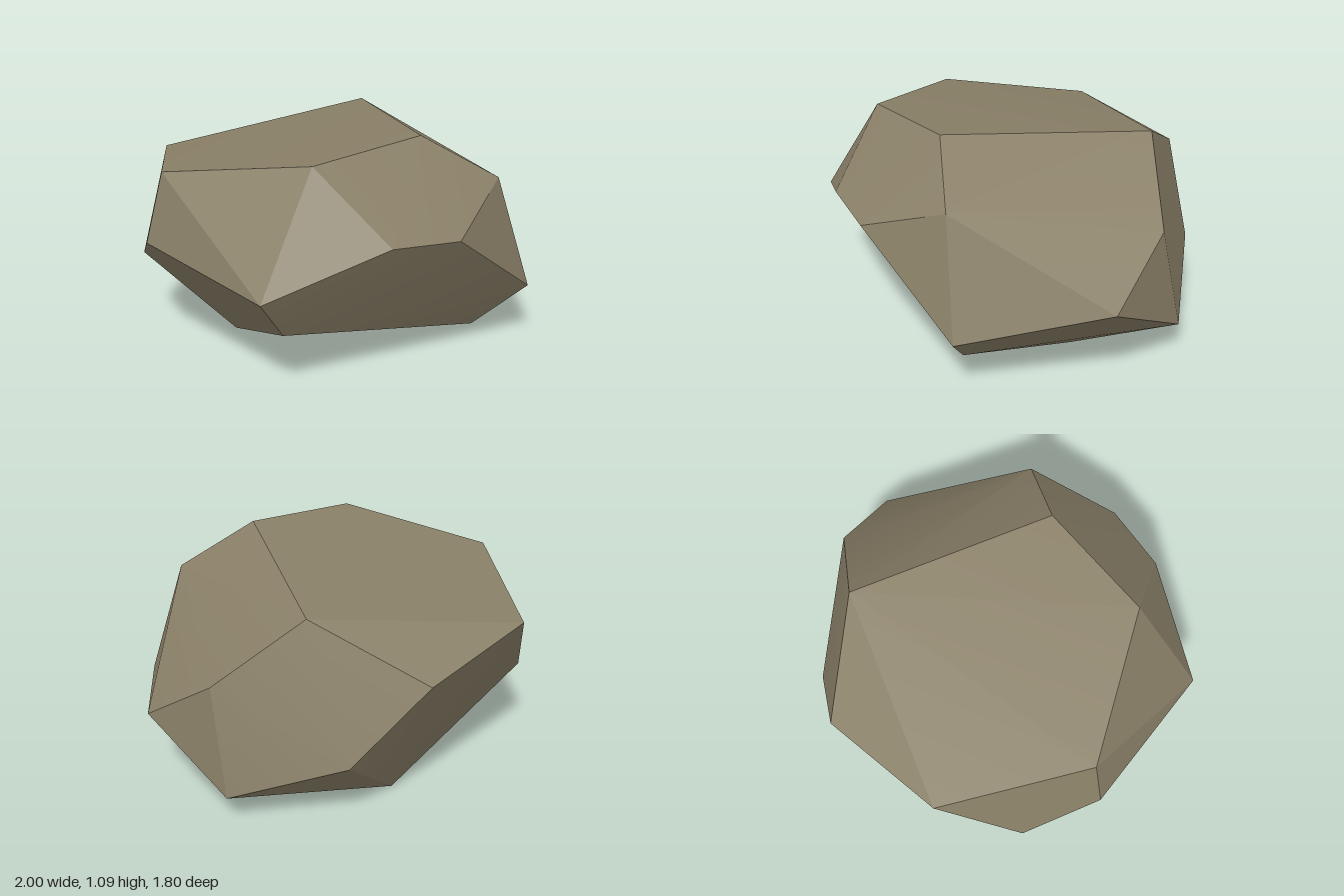
import * as THREE from 'three';
import { toCreasedNormals } from 'three/addons/utils/BufferGeometryUtils.js';
import { ConvexGeometry } from 'three/addons/geometries/ConvexGeometry.js';

// Corners of the boulder, ring by ring
const crown = [
  [0.20, 1.09, 0.49], [-0.40, 1.05, 0.59], [-0.91, 0.93, 0.02],
  [-0.66, 0.83, -0.70], [-0.03, 0.74, -0.90], [0.40, 1.01, -0.52],
];
const girdle = [
  [0.56, 0.87, 0.61], [0.19, 0.705, 0.89], [-0.16, 0.73, 0.90], [-0.73, 0.52, 0.77],
  [-1.00, 0.59, 0.02], [-0.91, 0.39, -0.36], [0.33, 0.36, -0.80], [0.80, 0.16, -0.48],
  [0.81, 0.69, -0.36], [1.00, 0.43, -0.02], [0.73, 0.30, 0.66],
];
const foot = [
  [-0.58, 0.30, 0.66], [0.50, 0.08, 0.52], [0.50, 0.00, -0.05],
  [-0.05, 0.00, -0.54], [-0.56, 0.05, 0.00],
];

export function createModel() {
  const stone = new THREE.MeshStandardMaterial({ color: 0x8a8068 });
  stone.name = 'stone';

  // Faceted hull; only the nearly flat seams inside a facet are smoothed
  const corners = [...crown, ...girdle, ...foot].map((p) => new THREE.Vector3(...p));
  const hull = toCreasedNormals(new ConvexGeometry(corners), 0.25);

  const boulder = new THREE.Mesh(hull, stone);
  boulder.name = 'boulder';

  const model = new THREE.Group();
  model.name = 'rock';
  model.add(boulder);
  return model;
}
